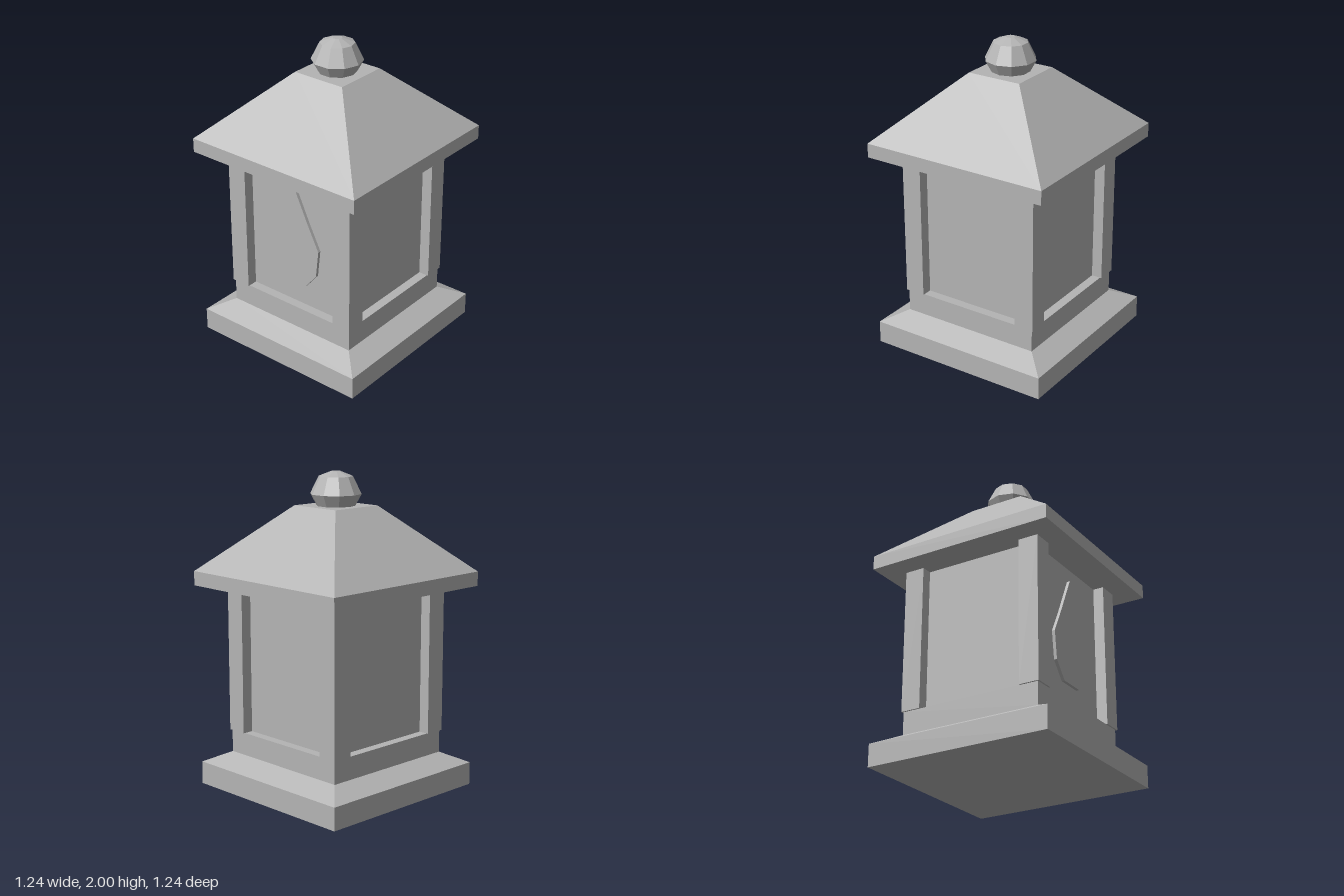
import * as THREE from 'three';

export function createModel() {
  const model = new THREE.Group();
  model.name = 'stoneLantern';
  const stone = new THREE.MeshStandardMaterial({ color: 0xb4b4b4, flatShading: true });
  stone.name = 'greyStone';

  function add(name, geometry, x = 0, y = 0, z = 0) {
    const mesh = new THREE.Mesh(geometry, stone);
    mesh.name = name;
    mesh.position.set(x, y, z);
    model.add(mesh);
    return mesh;
  }

  // Turned profile of [radius, height] points, listed from bottom to top
  function turned(points, sides, turn) {
    const profile = points.map(([r, y]) => new THREE.Vector2(r, y));
    return new THREE.LatheGeometry(profile, sides, turn);
  }

  // Four-sided stepped block from [half width, height] points
  function squareBlock(points) {
    return turned(points.map(([w, y]) => [w * Math.SQRT2, y]), 4, Math.PI / 4);
  }

  // Stepped base with a sloped shoulder
  add('base', squareBlock([
    [0, 0], [0.605, 0], [0.605, 0.145], [0.465, 0.215], [0.465, 0.36], [0, 0.36],
  ]));

  // Lamp chamber and its corner posts
  const wall = 0.405;
  add('chamber', new THREE.BoxGeometry(wall * 2, 0.93, wall * 2), 0, 0.825, 0);
  for (const sx of [-1, 1]) {
    for (const sz of [-1, 1]) {
      add('cornerPost', new THREE.BoxGeometry(0.13, 0.93, 0.13), sx * 0.41, 0.825, sz * 0.41);
    }
  }

  // Raised teardrop on the front wall
  const half = [[0.11, 0.96], [0.195, 0.79], [0.175, 0.61], [0.088, 0.503]];
  const outline = [
    [0, 1.197],
    ...half.map(([x, y]) => [-x, y]),
    ...half.slice().reverse(),
  ].map(([x, y]) => new THREE.Vector2(x, y));
  add('teardrop', new THREE.ExtrudeGeometry(new THREE.Shape(outline), {
    depth: 0.02, bevelEnabled: false,
  }), 0, 0, wall);

  // Hipped roof with a vertical eave and flat top
  add('roof', squareBlock([
    [0, 1.29], [0.622, 1.29], [0.622, 1.38], [0.18, 1.79], [0, 1.79],
  ]));

  // Ten-sided faceted finial
  add('finial', turned([
    [0, 1.785], [0.118, 1.785], [0.16, 1.862], [0.107, 1.97], [0.03, 2], [0, 2],
  ], 10, Math.PI / 2));

  return model;
}
